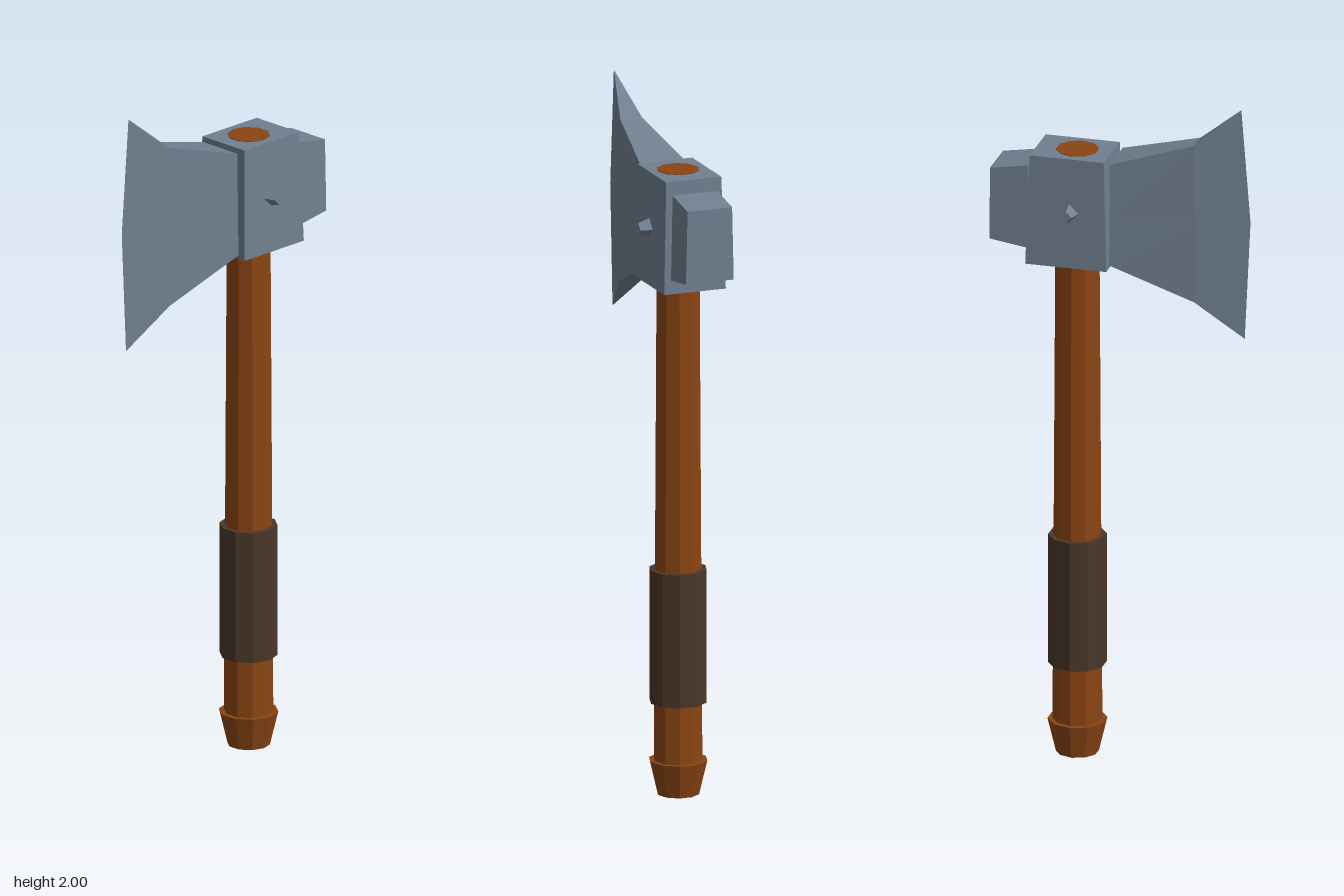
import * as THREE from 'three';

const HANDLE_Z = -0.135;
const flat = (color) => new THREE.MeshStandardMaterial({ color, flatShading: true });

export function createModel() {
  const axe = new THREE.Group();
  axe.name = 'axe';
  const steel = flat(0x708090), wood = flat(0x8b4513), leather = flat(0x4a3728);

  const add = (name, geometry, material) => {
    const mesh = new THREE.Mesh(geometry, material);
    mesh.name = name;
    axe.add(mesh);
    return mesh;
  };

  // Ten-sided upright section of the shaft, between two heights
  const shaftPart = (name, material, y0, y1, r0, r1) => {
    const mesh = add(name, new THREE.CylinderGeometry(r1, r0, y1 - y0, 10), material);
    mesh.rotation.y = Math.PI / 2;
    mesh.position.set(0, (y0 + y1) / 2, HANDLE_Z);
  };
  shaftPart('handle', wood, 0.05, 1.832, 0.071, 0.061);
  shaftPart('pommel', wood, 0, 0.1, 0.061, 0.085);
  shaftPart('grip', leather, 0.27, 0.66, 0.083, 0.083);

  // Unit box whose vertices are moved by a rule
  const shapedBox = (ySegments, zSegments, rule) => {
    const g = new THREE.BoxGeometry(1, 1, 1, 1, ySegments, zSegments);
    const p = g.attributes.position;
    for (let i = 0; i < p.count; i++) {
      p.setXYZ(i, ...rule(Math.sign(p.getX(i)), p.getY(i) + 0.5, p.getZ(i) + 0.5));
    }
    return g;
  };
  const lerp = THREE.MathUtils.lerp;

  // Head block, narrowing upward
  add('headBlock', shapedBox(1, 1, (s, v, w) => [
    s * lerp(0.094, 0.084, v),
    lerp(1.503, 1.83, v),
    w > 0.5 ? lerp(-0.024, -0.034, v) : lerp(-0.262, -0.252, v),
  ]), steel);

  // Hammer poll behind the block, narrowing toward the rear
  add('poll', shapedBox(1, 1, (s, v, w) => [
    s * lerp(0.073, 0.068, v),
    v > 0.5 ? lerp(1.773, 1.792, w) : lerp(1.56, 1.543, w),
    lerp(-0.373, -0.261, w),
  ]), steel);

  // Blade: three cross-sections, flaring in height and thinning to an edge
  const sections = [
    { low: 0.073, high: 0.068, y: [1.515, 1.667, 1.82], z: [-0.021, -0.021, -0.021] },
    { low: 0.036, high: 0.033, y: [1.415, 1.66, 1.89], z: [0.218, 0.22, 0.218] },
    { low: 0, high: 0, y: [1.305, 1.66, 2.0], z: [0.357, 0.374, 0.347] },
  ];
  const blade = shapedBox(2, 2, (s, v, w) => {
    const c = sections[Math.round(w * 2)], row = Math.round(v * 2);
    return [s * lerp(c.low, c.high, v), c.y[row], c.z[row]];
  });
  // The front side has closed to a line, so its faces are dropped
  const front = blade.groups[4];
  blade.setIndex([...blade.index.array].filter((_, i) => i < front.start || i >= front.start + front.count));
  blade.clearGroups();
  blade.computeVertexNormals();
  add('blade', blade, steel);

  // Four-sided rivets on both cheeks of the head
  for (const side of [-1, 1]) {
    const rivet = add(side > 0 ? 'leftRivet' : 'rightRivet',
      new THREE.CylinderGeometry(0.017, 0.028, 0.034, 4), steel);
    rivet.rotation.z = -side * Math.PI / 2;
    rivet.position.set(side * 0.105, 1.668, HANDLE_Z);
  }
  return axe;
}
